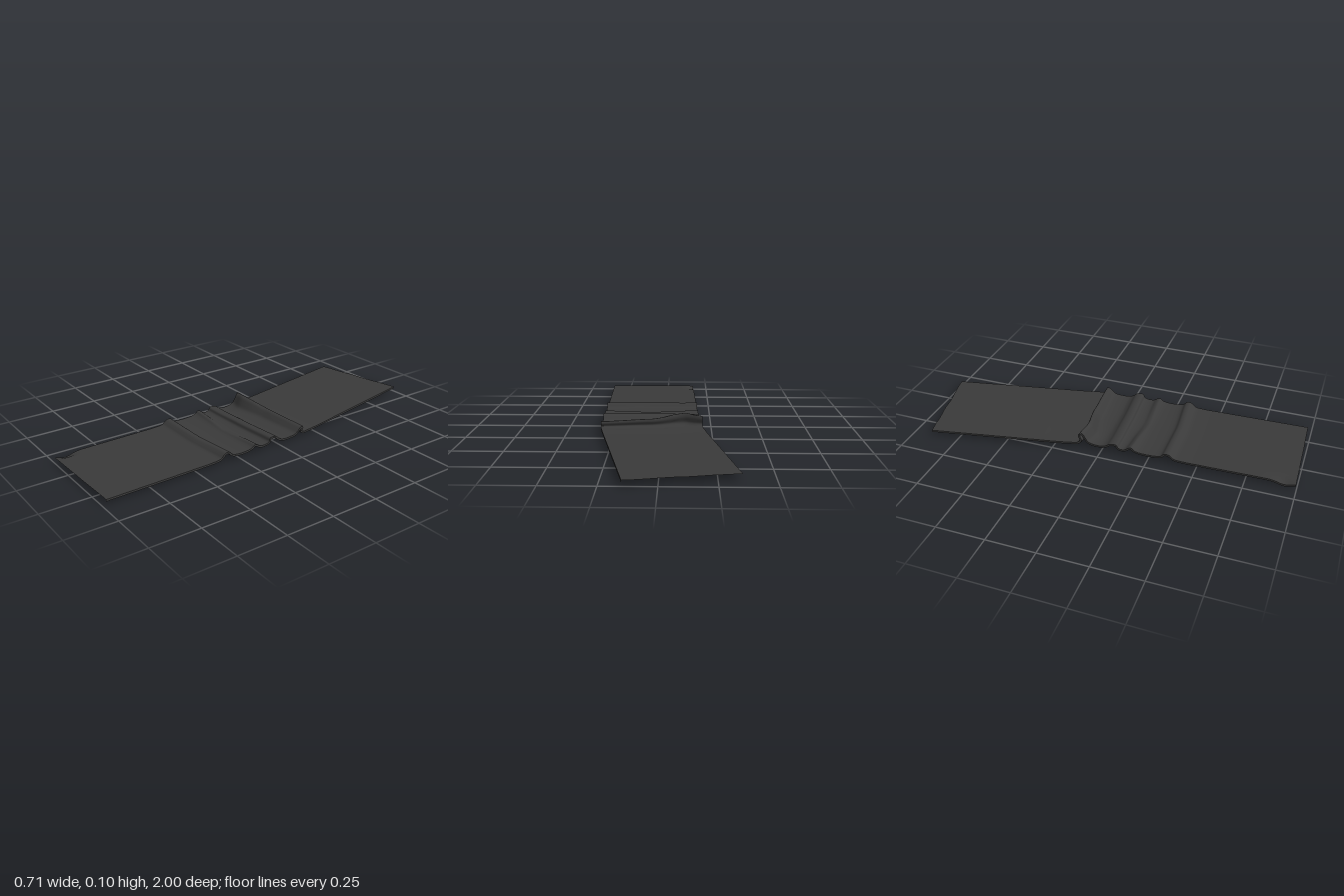
import * as THREE from 'three';

const TOP = 0.027, THICK = 0.01, COLS = 28, SUB = 4;

// Each fold: z of its centre and height gain at four stations across the rug,
// plus a profile of [z offset, height] running from back to front.
const STATIONS = [0, 0.15, 0.5, 1];
const folds = [
  { z: [-0.9, -0.915, -0.95, -1.0], gain: [0, 0, 0, 0], rows: [[0, 0], [0.3, 0], [0.55, 0]] },
  { // tall overhanging fold at the bend
    z: [-0.118, -0.1, -0.132, -0.152], gain: [0.83, 1, 0.64, 0.5],
    rows: [[-0.1, 0], [-0.05, 0.003], [-0.012, 0.006], [0.004, 0.022], [-0.004, 0.05],
      [0, 0.071], [0.015, 0.066], [0.03, 0.04], [0.045, 0.014], [0.07, 0.003]],
  },
  {
    z: [0.055, 0.055, 0.05, 0.035], gain: [0.85, 0.85, 1, 1.1],
    rows: [[-0.055, 0.001], [-0.03, 0.011], [-0.012, 0.025], [0.01, 0.03], [0.028, 0.026], [0.036, 0.01], [0.055, 0.004]],
  },
  {
    z: [0.155, 0.16, 0.17, 0.155], gain: [1, 0.9, 0.45, 0.9],
    rows: [[-0.03, 0.006], [-0.01, 0.02], [0.005, 0.024], [0.02, 0.012], [0.045, 0.004]],
  },
  {
    z: [0.345, 0.345, 0.345, 0.325], gain: [0.9, 0.85, 0.85, 1],
    rows: [[-0.06, 0.003], [-0.03, 0.01], [-0.012, 0.027], [0.01, 0.029], [0.026, 0.018], [0.04, 0.006], [0.08, 0.001]],
  },
  {
    z: [0.995, 0.993, 0.988, 0.98], gain: [0, 0, 0, 0],
    rows: [[-0.45, 0], [-0.2, 0], [-0.14, 0], [-0.09, 0], [-0.045, 0], [0, 0]],
  },
];

// Smooth interpolation of station values across the width.
function across(values, u) {
  let i = 0;
  while (i < 2 && u > STATIONS[i + 1]) i++;
  const t = (u - STATIONS[i]) / (STATIONS[i + 1] - STATIONS[i]);
  return THREE.MathUtils.lerp(values[i], values[i + 1], t * 0.5 + t * t * (3 - 2 * t) * 0.5);
}

// Side edges in plan, with the bend partway along.
const leftX = z => z < -0.11 ? -0.2 + (z + 0.11) * 0.196 : -0.19 + (z + 0.11) * 0.0235;
const rightX = z => z < -0.155 ? 0.322 + (z + 0.155) * 0.203 : 0.322 + (z + 0.155) * 0.025;

// One lengthwise strip: matching top and bottom points.
function strip(u) {
  const pts = [];
  for (const f of folds) {
    const z = across(f.z, u), gain = across(f.gain, u);
    for (const [dz, h] of f.rows) pts.push(new THREE.Vector3(0, TOP + h * gain, z + dz));
  }
  const curve = new THREE.CatmullRomCurve3(pts, false, 'centripetal');
  const n = (pts.length - 1) * SUB, top = [], bottom = [];
  for (let i = 0; i <= n; i++) {
    const p = curve.getPoint(i / n), t = curve.getTangent(i / n);
    p.x = THREE.MathUtils.lerp(leftX(p.z), rightX(p.z), u);
    // sagging front left corner
    p.y -= 0.0175 * Math.exp(-(((p.x + 0.16) / 0.022) ** 2) - ((p.z - 0.94) / 0.045) ** 2);
    top.push(p);
    bottom.push(new THREE.Vector3(p.x, p.y - THICK * t.z, p.z + THICK * t.y));
  }
  for (const p of bottom) p.y = Math.max(p.y, 0);
  return { top, bottom };
}

// Smooth sheet through a grid of points.
function sheet(grid, flip) {
  const m = grid[0].length, pos = [], index = [];
  for (const line of grid) for (const p of line) pos.push(p.x, p.y, p.z);
  for (let i = 0; i < grid.length - 1; i++) {
    for (let j = 0; j < m - 1; j++) {
      const a = i * m + j, b = a + 1, c = a + m, d = c + 1;
      if (flip) index.push(a, c, b, b, c, d);
      else index.push(a, b, c, b, d, c);
    }
  }
  const g = new THREE.BufferGeometry();
  g.setAttribute('position', new THREE.Float32BufferAttribute(pos, 3));
  g.setIndex(index);
  g.computeVertexNormals();
  return g;
}

export function createModel() {
  const group = new THREE.Group();
  group.name = 'crumpledRug';
  const material = new THREE.MeshStandardMaterial({ color: 0x3a3a3a });
  const strips = Array.from({ length: COLS + 1 }, (_, i) => strip(i / COLS));
  const tops = strips.map(s => s.top), bottoms = strips.map(s => s.bottom);
  const last = tops[0].length - 1;
  const add = (name, grid, flip) => {
    const mesh = new THREE.Mesh(sheet(grid, flip), material);
    mesh.name = name;
    group.add(mesh);
  };
  // faces
  add('rugTop', tops, false);
  add('rugUnderside', bottoms, true);
  // thin rim on all four sides
  add('rightEdge', [bottoms[0], tops[0]], false);
  add('leftEdge', [tops[COLS], bottoms[COLS]], false);
  add('backEdge', [tops.map(l => l[0]), bottoms.map(l => l[0])], true);
  add('frontEdge', [tops.map(l => l[last]), bottoms.map(l => l[last])], false);
  return group;
}
